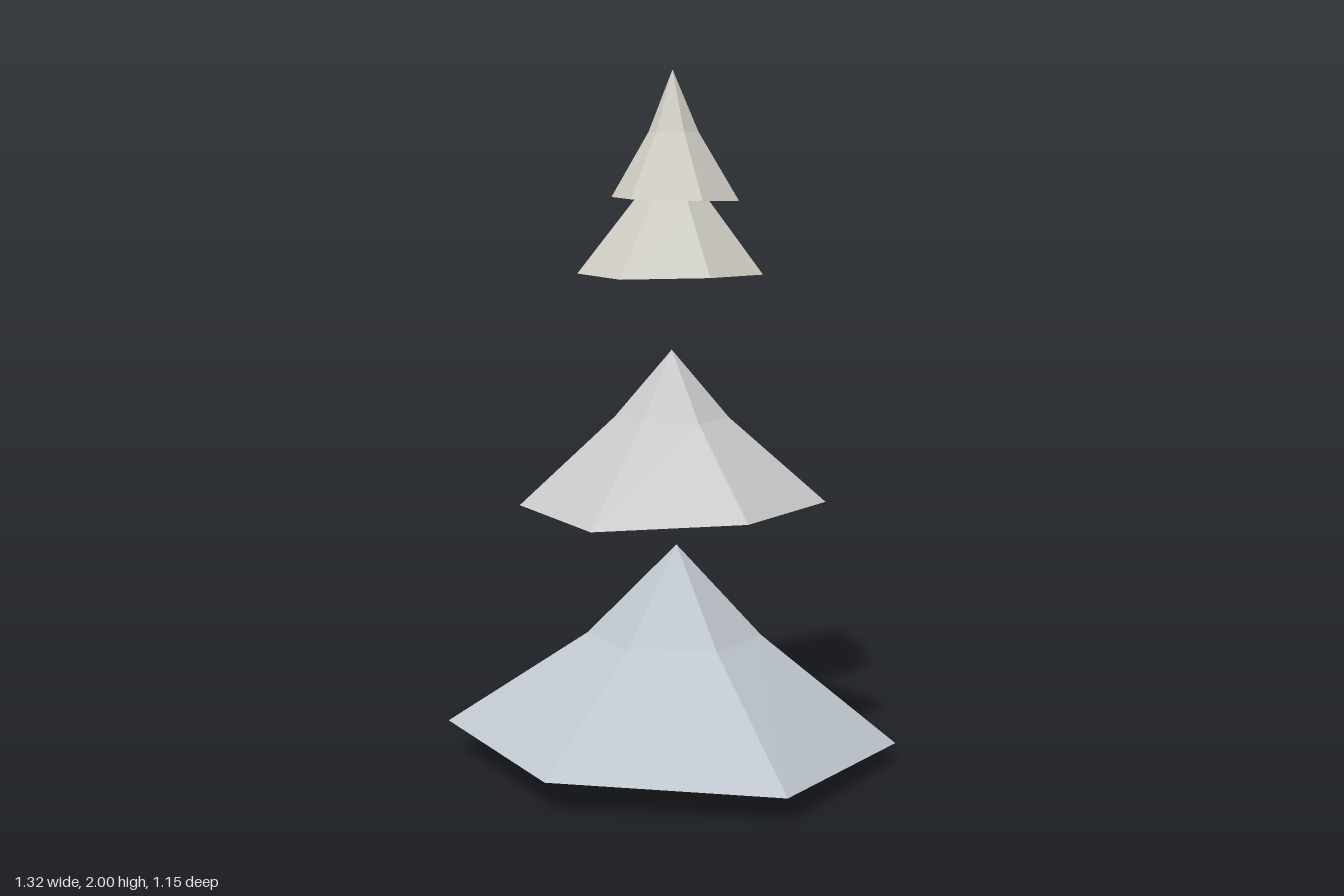
import * as THREE from 'three';

// Each tier: tip point, height of the flare ring, and six slightly uneven rim corners
// (left, back left, back right, right, front right, front left).
const TIERS = [
  {
    name: 'bottomBranches', color: 0xc0c6ce, tip: [0.015, 0.64, 0], flareY: 0.375, flare: 0.385,
    rim: [[-0.66, 0.1, -0.005], [-0.315, 0.08, -0.58], [0.32, 0.06, -0.535],
      [0.655, 0.057, -0.005], [0.35, 0.07, 0.575], [-0.305, 0.09, 0.545]],
  },
  {
    name: 'middleBranches', color: 0xcccccc, tip: [0, 1.205, -0.02], flareY: 1.01, flare: 0.37,
    rim: [[-0.445, 0.745, -0.025], [-0.245, 0.757, -0.445], [0.2, 0.75, -0.375],
      [0.445, 0.765, -0.03], [0.235, 0.773, 0.385], [-0.2, 0.735, 0.325]],
  },
  {
    name: 'upperBranches', color: 0xd2d0c6, tip: [0, 1.82, -0.05], flareY: 1.635, flare: 0.39,
    rim: [[-0.275, 1.42, -0.05], [-0.13, 1.42, -0.265], [0.125, 1.425, -0.265],
      [0.26, 1.42, -0.045], [0.12, 1.425, 0.17], [-0.13, 1.42, 0.18]],
  },
  {
    name: 'topBranches', color: 0xd2d0c6, tip: [0, 2, -0.05], flareY: 1.825, flare: 0.39,
    rim: [[-0.175, 1.64, -0.05], [-0.085, 1.635, -0.2], [0.1, 1.625, -0.2],
      [0.19, 1.63, -0.05], [0.095, 1.635, 0.115], [-0.105, 1.64, 0.13]],
  },
];

// Flared six-sided cone with a shallow hollow underneath
function tierGeometry({ tip, flareY, flare, rim }) {
  const ring = rim.map(([x, , z]) => [
    tip[0] + (x - tip[0]) * flare, flareY, tip[2] + (z - tip[2]) * flare]);
  const rimY = rim.reduce((sum, c) => sum + c[1], 0) / rim.length;
  const hub = [tip[0], rimY + (tip[1] - rimY) * 0.06, tip[2]];
  const points = [];
  rim.forEach((a, i) => {
    const j = (i + 1) % rim.length;
    const b = rim[j];
    points.push(
      ...tip, ...ring[j], ...ring[i],
      ...ring[i], ...ring[j], ...b,
      ...ring[i], ...b, ...a,
      ...hub, ...a, ...b,
    );
  });
  const geometry = new THREE.BufferGeometry();
  geometry.setAttribute('position', new THREE.Float32BufferAttribute(points, 3));
  geometry.computeVertexNormals();
  return geometry;
}

export function createModel() {
  const tree = new THREE.Group();
  tree.name = 'tree';

  const add = (name, geometry, color) => {
    const mesh = new THREE.Mesh(
      geometry, new THREE.MeshStandardMaterial({ color, flatShading: true }));
    mesh.name = name;
    tree.add(mesh);
    return mesh;
  };

  // Trunk
  const trunk = add('trunk', new THREE.CylinderGeometry(0.05, 0.06, 0.2, 10), 0x6b3f28);
  trunk.position.set(0.015, 0.1, 0);

  // Branch tiers
  for (const tier of TIERS) add(tier.name, tierGeometry(tier), tier.color);

  return tree;
}
